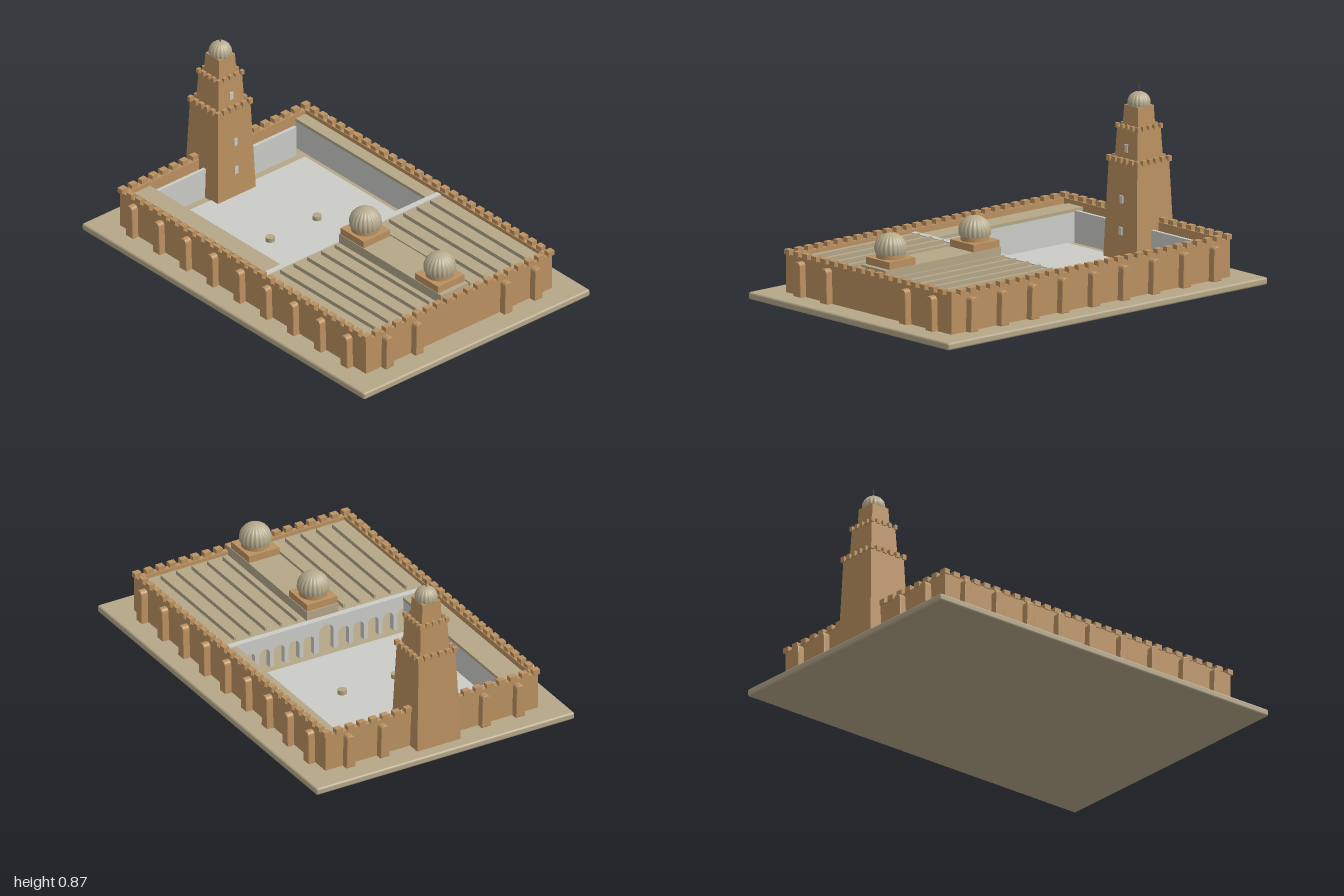
import * as THREE from 'three';
import { RoundedBoxGeometry } from 'three/addons/geometries/RoundedBoxGeometry.js';

const material = (name, color) => {
  const m = new THREE.MeshStandardMaterial({ color });
  m.name = name;
  return m;
};

export function createModel() {
  const root = new THREE.Group();
  root.name = 'courtyardBuilding';
  const brick = material('ochre brick', 0xba9060);
  const stone = material('tan stone', 0xb4a688);
  const domeStone = material('dome stone', 0xb6ab8e);
  const marble = material('pale marble', 0xcbcbc7);
  const metal = material('dark metal', 0x57503f);

  const add = (name, geo, mat, x = 0, y = 0, z = 0, parent = root) => {
    const mesh = new THREE.Mesh(geo, mat);
    mesh.name = name;
    mesh.position.set(x, y, z);
    parent.add(mesh);
    return mesh;
  };
  // Box given by its extents
  const block = (name, mat, x0, x1, y0, y1, z0, z1, parent = root) =>
    add(name, new THREE.BoxGeometry(x1 - x0, y1 - y0, z1 - z0), mat,
      (x0 + x1) / 2, (y0 + y1) / 2, (z0 + z1) / 2, parent);
  // Square tapering block, standing on y = 0
  const taper = (bottom, top, height) => {
    const g = new THREE.BoxGeometry(1, height, 1).translate(0, height / 2, 0);
    const p = g.attributes.position;
    for (let i = 0; i < p.count; i++) {
      const s = 2 * (p.getY(i) > height / 2 ? top : bottom);
      p.setX(i, p.getX(i) * s);
      p.setZ(i, p.getZ(i) * s);
    }
    g.computeVertexNormals();
    return g;
  };
  // Ring of battlements around a rectangle
  const battlements = (name, hx, hz, nx, nz, y, w, h, d, cz = 0) => {
    const ring = new THREE.Group();
    ring.name = name;
    ring.position.set(0, y, cz);
    root.add(ring);
    const along = new THREE.BoxGeometry(w, h, d);
    const across = new THREE.BoxGeometry(d, h, w);
    for (const s of [-1, 1]) {
      for (let i = 0; i < nx; i++) add('merlon', along, brick, -hx + (2 * hx * i) / (nx - 1), h / 2, s * hz, ring);
      for (let i = 1; i < nz - 1; i++) add('merlon', across, brick, s * hx, h / 2, -hz + (2 * hz * i) / (nz - 1), ring);
    }
  };
  // Fluted dome with rounded lobes
  const dome = (radius, height, lobes) => {
    const g = new THREE.SphereGeometry(1, lobes * 6, 16, 0, Math.PI * 2, 0, Math.PI * 0.6);
    const p = g.attributes.position;
    const low = Math.cos(Math.PI * 0.6);
    for (let i = 0; i < p.count; i++) {
      const a = Math.atan2(p.getZ(i), p.getX(i));
      const r = radius * (0.93 + 0.07 * Math.abs(Math.sin((a * lobes) / 2)));
      p.setXYZ(i, p.getX(i) * r, ((p.getY(i) - low) / (1 - low)) * height, p.getZ(i) * r);
    }
    g.computeVertexNormals();
    return g;
  };

  // Plinth
  add('plinth', new RoundedBoxGeometry(1.4, 0.036, 2, 2, 0.01), stone, 0, 0.018, 0);

  // Outer walls and battlements
  for (const s of [-1, 1]) {
    block('sideWall', brick, s * 0.5625 - 0.0145, s * 0.5625 + 0.0145, 0.03, 0.22, -0.87, 0.87);
    block('endWall', brick, -0.577, 0.577, 0.03, 0.22, s * 0.857 - 0.0145, s * 0.857 + 0.0145);
  }
  battlements('wallBattlements', 0.567, 0.863, 19, 29, 0.217, 0.036, 0.025, 0.03);

  // Buttresses: tapering slabs with rounded heads
  const profile = new THREE.Shape();
  profile.moveTo(-0.021, 0);
  profile.lineTo(0.021, 0);
  profile.lineTo(0.017, 0.145);
  profile.quadraticCurveTo(0.016, 0.16, 0, 0.16);
  profile.quadraticCurveTo(-0.016, 0.16, -0.017, 0.145);
  const buttressGeo = new THREE.ExtrudeGeometry(profile, {
    depth: 0.028, bevelEnabled: true, bevelThickness: 0.005, bevelSize: 0.004, bevelSegments: 2, curveSegments: 6,
  });
  const buttress = (x, z, turn) => { add('buttress', buttressGeo, brick, x, 0.042, z).rotation.y = turn; };
  for (const s of [-1, 1]) {
    for (let i = -4; i <= 4; i++) buttress(s * 0.584, i * 0.19, (s * Math.PI) / 2);
    for (const x of [-0.46, -0.275, 0.275, 0.46]) buttress(x, s * 0.877, s > 0 ? 0 : Math.PI);
  }

  // Courtyard paving and the two small well heads
  block('courtyardFloor', marble, -0.42, 0.465, 0.03, 0.042, -0.75, 0.045);
  for (const s of [-1, 1]) add('wellHead', new THREE.CylinderGeometry(0.022, 0.022, 0.022, 20), stone, s * 0.145, 0.052, -0.3);

  // Galleries around the courtyard
  block('rightGalleryRoof', stone, -0.515, -0.415, 0.185, 0.2, -0.842, 0.09);
  block('rightGalleryGutter', stone, -0.55, -0.515, 0.18, 0.193, -0.842, 0.09);
  block('rightGalleryWall', marble, -0.44, -0.42, 0.035, 0.185, -0.842, 0.09);
  block('leftGalleryRoof', stone, 0.485, 0.55, 0.185, 0.2, -0.842, 0.09);
  block('leftGalleryWall', marble, 0.49, 0.505, 0.035, 0.185, -0.842, 0.09);
  block('backArcadeWall', marble, -0.42, 0.45, 0.035, 0.19, -0.81, -0.793);

  // Hall facade pierced by arches, the middle one larger
  const facade = new THREE.Shape();
  facade.moveTo(-0.548, 0.03);
  facade.lineTo(0.548, 0.03);
  facade.lineTo(0.548, 0.207);
  facade.lineTo(-0.548, 0.207);
  for (let i = -6; i <= 6; i++) {
    const r = i === 0 ? 0.04 : 0.029;
    const spring = i === 0 ? 0.135 : 0.11;
    const cx = i * 0.08 + Math.sign(i) * 0.015;
    const hole = new THREE.Path();
    hole.moveTo(cx - r, 0.036);
    hole.lineTo(cx - r, spring);
    hole.absarc(cx, spring, r, Math.PI, 0, true);
    hole.lineTo(cx + r, 0.036);
    facade.holes.push(hole);
  }
  add('hallFacade', new THREE.ExtrudeGeometry(facade, { depth: 0.03, bevelEnabled: false, curveSegments: 8 }), marble, 0, 0, 0.088);

  // Hall roof with ridges and raised nave
  block('hallRoof', stone, -0.55, 0.55, 0.185, 0.202, 0.117, 0.845);
  for (const s of [-1, 1]) {
    for (let i = 0; i < 5; i++) {
      const x = s * (0.127 + i * 0.0845);
      block('roofRidge', stone, x - 0.005, x + 0.005, 0.2, 0.222, 0.14, 0.81);
    }
  }
  block('naveRoof', stone, -0.085, 0.085, 0.2, 0.25, 0.12, 0.842);

  // Two domes on the nave
  for (const z of [0.735, 0.208]) {
    const g = new THREE.Group();
    g.name = 'naveDome';
    g.position.set(0, 0.25, z);
    root.add(g);
    block('domeBase', brick, -0.082, 0.082, 0, 0.035, -0.082, 0.082, g);
    add('domeDrum', new THREE.CylinderGeometry(0.066, 0.068, 0.045, 32), brick, 0, 0.05, 0, g);
    add('domeShell', dome(0.077, 0.095, 20), domeStone, 0, 0.056, 0, g);
  }

  // Three-stage tower
  const tz = -0.82;
  add('towerBase', taper(0.118, 0.1, 0.472), brick, 0, 0.035, tz);
  battlements('lowerTowerBattlements', 0.098, 0.098, 6, 6, 0.5, 0.023, 0.026, 0.02, tz);
  add('towerMiddle', taper(0.08, 0.072, 0.158), brick, 0, 0.505, tz);
  battlements('upperTowerBattlements', 0.071, 0.071, 5, 5, 0.658, 0.018, 0.022, 0.016, tz);
  add('towerTop', taper(0.054, 0.049, 0.108), brick, 0, 0.66, tz);
  add('towerDome', dome(0.055, 0.068, 16), domeStone, 0, 0.764, tz);
  add('finial', new THREE.CylinderGeometry(0.002, 0.003, 0.045, 8), metal, 0, 0.845, tz);

  // Tower windows
  for (const [y, z] of [[0.18, 0.1135], [0.33, 0.1078], [0.57, 0.0778]]) {
    block('towerWindow', marble, -0.01, 0.01, y - 0.019, y + 0.019, tz + z - 0.004, tz + z + 0.004);
  }
  return root;
}
